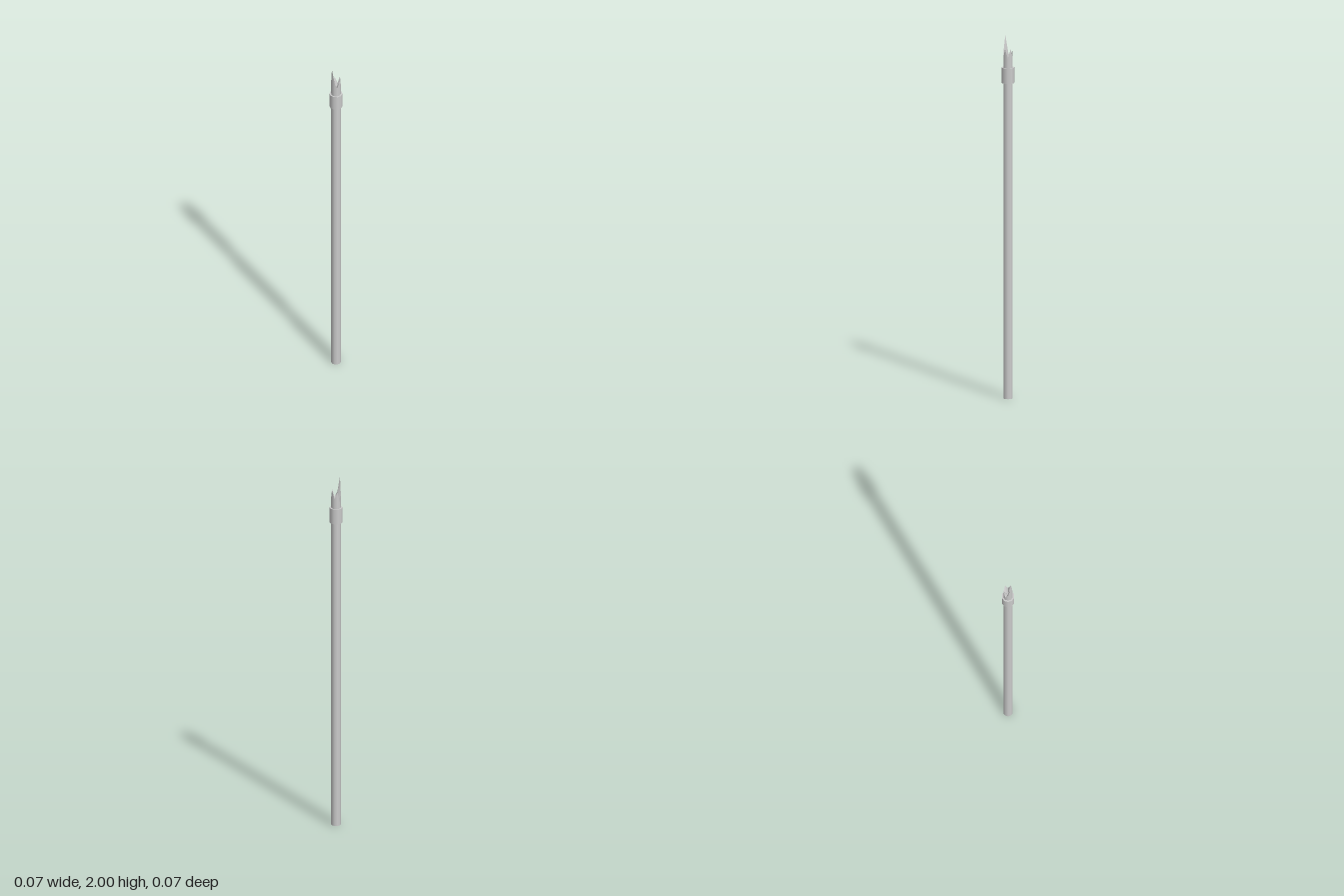
import * as THREE from 'three';

const SIDES = 10;
const material = new THREE.MeshStandardMaterial({ color: 0xcccccc, side: THREE.DoubleSide });

// Ten-sided prism between two heights, with corners on the x axis
function prism(radius, bottom, top) {
  const geometry = new THREE.CylinderGeometry(radius, radius, top - bottom, SIDES, 1, false, Math.PI / 2);
  return geometry.translate(0, (top + bottom) / 2, 0);
}

function part(name, geometry) {
  const mesh = new THREE.Mesh(geometry, material);
  mesh.name = name;
  return mesh;
}

// Pole whose top corners are raised to splinter heights around a sunken centre
function splinteredPole(radius, heights, sunkenY) {
  const geometry = prism(radius, 0, 1.85);
  const position = geometry.attributes.position;
  const radialNormals = geometry.attributes.normal.clone();
  for (let i = 0; i < position.count; i++) {
    if (position.getY(i) < 1) continue;
    const x = position.getX(i), z = position.getZ(i);
    const corner = Math.round(Math.atan2(z, x) / (2 * Math.PI) * SIDES);
    const atCentre = Math.hypot(x, z) < radius / 2;
    position.setY(i, atCentre ? sunkenY : heights[(corner + SIDES) % SIDES]);
  }
  geometry.computeVertexNormals();
  // The wall stays round, so it keeps its smooth radial normals
  const wallCount = 2 * (SIDES + 1);
  for (let i = 0; i < wallCount; i++) {
    geometry.attributes.normal.setXYZ(i, radialNormals.getX(i), radialNormals.getY(i), radialNormals.getZ(i));
  }
  return geometry;
}

export function createModel() {
  const model = new THREE.Group();
  model.name = 'brokenPole';

  // Splinter heights, going from +x towards +z
  const splinters = [1.88, 1.93, 1.88, 1.91, 2.0, 1.9, 1.86, 1.92, 1.88, 1.93];
  model.add(part('pole', splinteredPole(0.0265, splinters, 1.85)));

  // Band around the pole below the break
  model.add(part('collar', prism(0.035, 1.74, 1.825)));
  return model;
}
